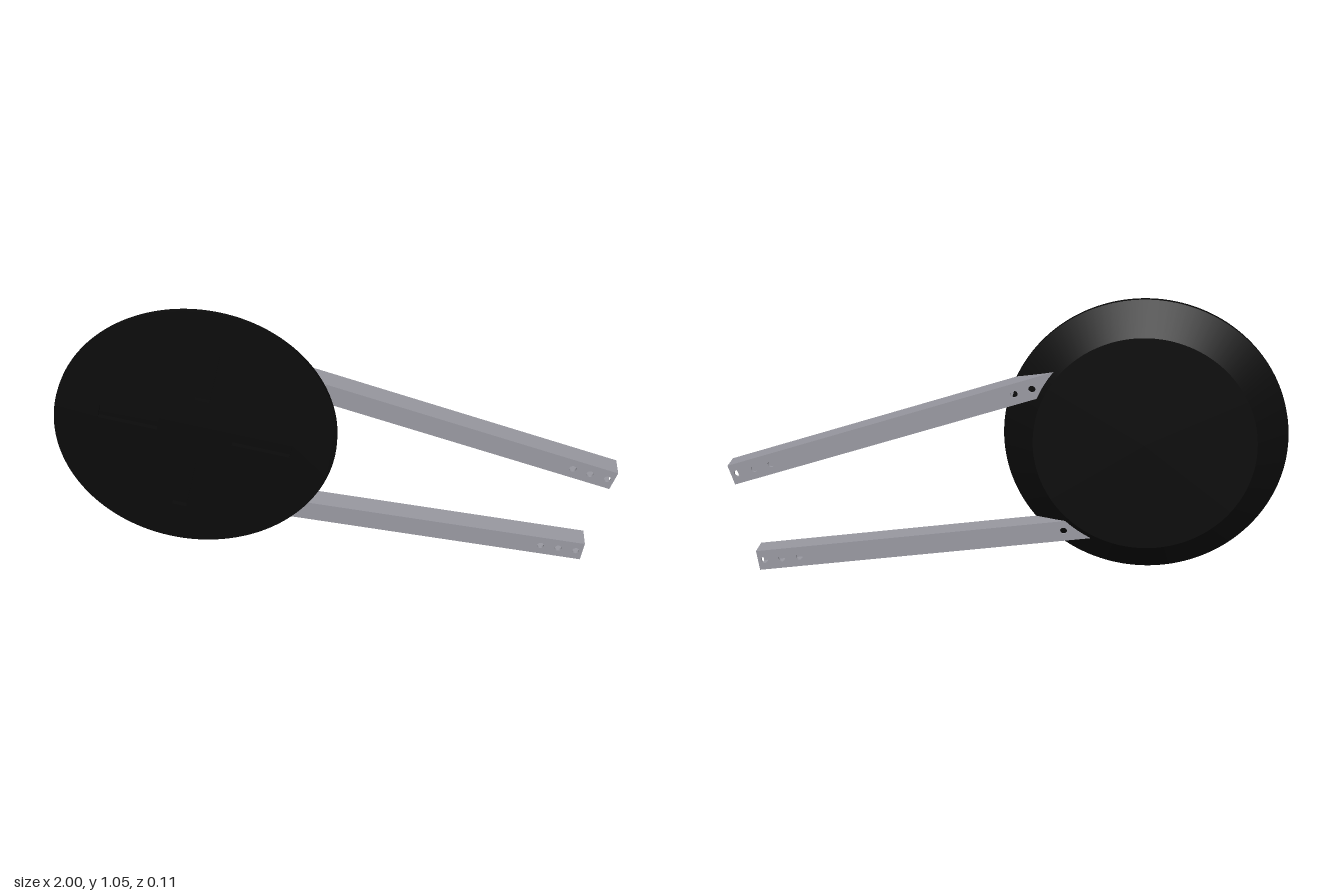
import * as THREE from 'three';

const black = new THREE.MeshStandardMaterial({ color: 0x0b0b0b });
black.name = 'black';
const steel = new THREE.MeshStandardMaterial({ color: 0x9a9aa2 });
steel.name = 'steel grey';

const TUBE = 0.076, WALL = 0.0085;

function addMesh(parent, name, geometry, material) {
  const mesh = new THREE.Mesh(geometry, material);
  mesh.name = name;
  parent.add(mesh);
  return mesh;
}

// Round dish: slotted face plate in front, tapered body behind it
function makeDish() {
  const dish = new THREE.Group();
  dish.name = 'dish';
  const face = new THREE.Shape().absarc(0, 0, 0.5, 0, Math.PI * 2, false);
  const tilt = -13 * Math.PI / 180;
  for (let i = 0; i < 4; i++) {
    const a = tilt + i * Math.PI / 2, c = Math.cos(a), s = Math.sin(a);
    const corners = [[0.135, -0.026], [0.135, 0.026], [0.345, 0.026], [0.345, -0.026]];
    face.holes.push(new THREE.Path(corners.map(([r, t]) =>
      new THREE.Vector2(r * c - t * s, r * s + t * c))));
  }
  const plate = new THREE.ExtrudeGeometry(face, { depth: 0.018, bevelEnabled: false, curveSegments: 96 });
  addMesh(dish, 'facePlate', plate, black).position.z = 0.037;

  const body = new THREE.CylinderGeometry(0.5, 0.39, 0.092, 96).rotateX(Math.PI / 2);
  addMesh(dish, 'taperedBody', body, black).position.z = -0.009;
  dish.position.set(-0.5, 0.555, 0);
  return dish;
}

// Hollow square tube running along -x from its open end at the origin
function makeArm(name, length, holes) {
  const arm = new THREE.Group();
  arm.name = name;
  const h = TUBE / 2;
  const side = new THREE.Shape([
    new THREE.Vector2(-length, -h), new THREE.Vector2(0, -h),
    new THREE.Vector2(0, h), new THREE.Vector2(-length, h),
  ]);
  for (const d of holes) {
    side.holes.push(new THREE.Path().absarc(-d, 0, 0.0125, 0, Math.PI * 2, true));
  }
  const wall = new THREE.ExtrudeGeometry(side, { depth: WALL, bevelEnabled: false, curveSegments: 16 });
  addMesh(arm, 'frontWall', wall, steel).position.z = h - WALL;
  addMesh(arm, 'backWall', wall, steel).position.z = -h;

  const flat = new THREE.BoxGeometry(length, WALL, TUBE - 2 * WALL);
  for (const s of [1, -1]) {
    addMesh(arm, s > 0 ? 'topWall' : 'bottomWall', flat, steel)
      .position.set(-length / 2, s * (h - WALL / 2), 0);
  }
  return arm;
}

export function createModel() {
  const model = new THREE.Group();
  model.name = 'dishWithArms';
  model.add(makeDish());

  // Two arms, bolt holes at both ends
  const upper = makeArm('upperArm', 1.3, [0.025, 0.0915, 0.158, 1.085, 1.15]);
  upper.position.set(0.985, 0.375, -0.0015);
  upper.rotation.z = -18.65 * Math.PI / 180;
  const lower = makeArm('lowerArm', 1.38, [0.025, 0.0915, 0.158, 1.14, 1.205]);
  lower.position.set(0.905, 0.039, -0.0015);
  lower.rotation.z = -8.7 * Math.PI / 180;
  model.add(upper, lower);
  return model;
}
